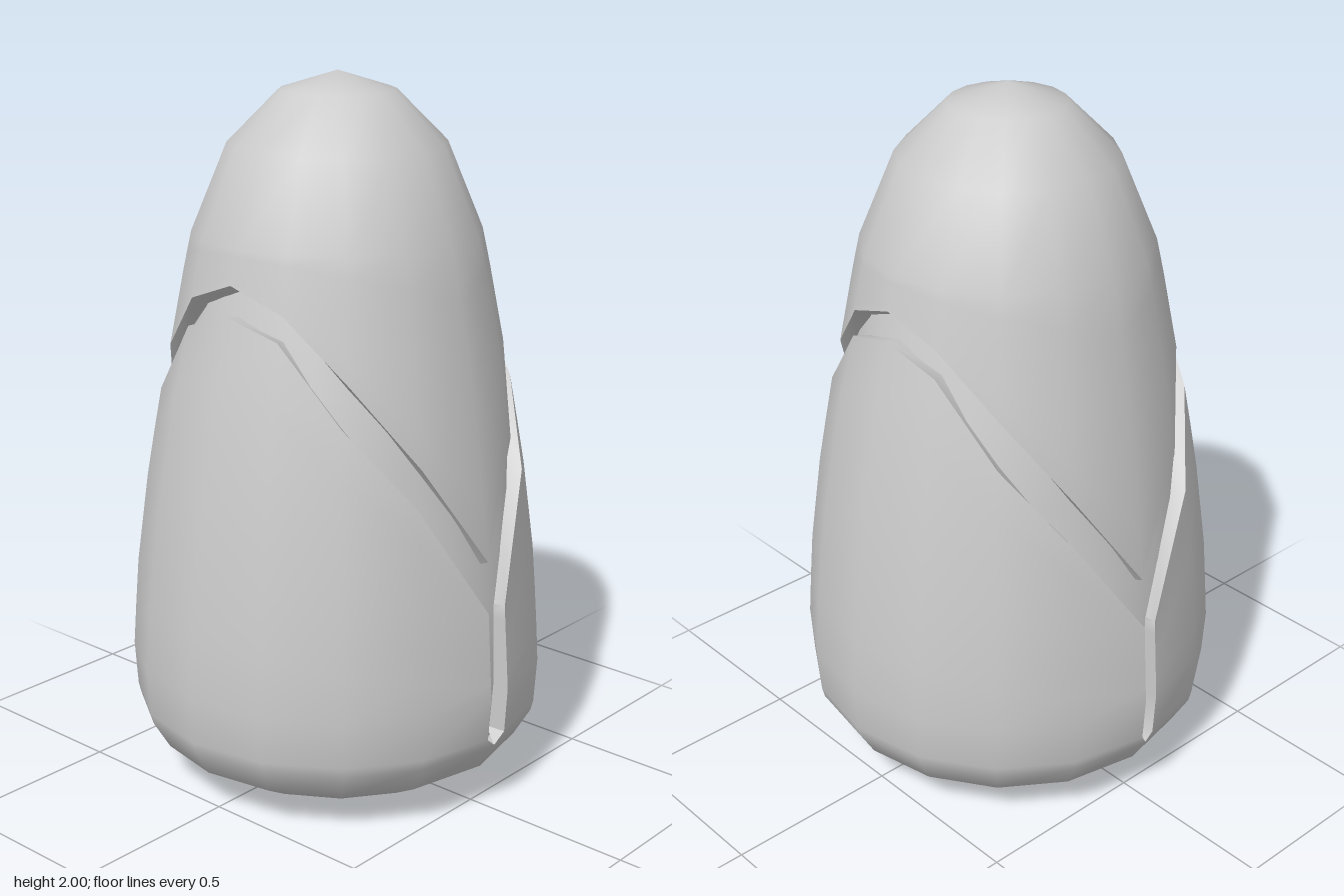
import * as THREE from 'three';
import { mergeGeometries, toCreasedNormals } from 'three/addons/utils/BufferGeometryUtils.js';

const material = new THREE.MeshStandardMaterial({ color: 0xcccccc, side: THREE.DoubleSide });
const rad = THREE.MathUtils.degToRad;

// Piecewise-linear lookup in a list of [input, output] pairs
function lookup(table, t) {
  if (t <= table[0][0]) return table[0][1];
  for (let i = 1; i < table.length; i++) {
    const [t0, v0] = table[i - 1], [t1, v1] = table[i];
    if (t <= t1) return v0 + (v1 - v0) * (t - t0) / (t1 - t0);
  }
  return table[table.length - 1][1];
}

// Point at an angle in degrees: 0 is the front, 90 the left side
const polar = (deg, r, y) => [r * Math.sin(rad(deg)), y, r * Math.cos(rad(deg))];

// Skin over columns of points, each running upwards
function skin(columns) {
  const rows = columns[0].length, index = [];
  for (let c = 0; c < columns.length - 1; c++) {
    for (let r = 0; r < rows - 1; r++) {
      const a = c * rows + r, b = a + rows;
      index.push(a, b, b + 1, a, b + 1, a + 1);
    }
  }
  const geometry = new THREE.BufferGeometry();
  geometry.setAttribute('position', new THREE.Float32BufferAttribute(columns.flat(2), 3));
  geometry.setIndex(index);
  return geometry.toNonIndexed();
}

function addMesh(group, name, geometry) {
  const mesh = new THREE.Mesh(toCreasedNormals(geometry, rad(48)), material);
  mesh.name = name;
  group.add(mesh);
}

// Radius of each layer by height
const shellRadius = [[0.005, 0], [0.02, 0.24], [0.055, 0.42], [0.12, 0.53], [0.21, 0.583],
  [0.36, 0.592], [0.6, 0.575], [0.9, 0.535], [1.2, 0.48], [1.4, 0.43]];
const capRadius = [[0.73, 0.54], [1, 0.505], [1.2, 0.475], [1.48, 0.42], [1.57, 0.4],
  [1.81, 0.3], [1.95, 0.16], [2, 0]];

// Rim height by angle away from the side
const shellRim = [[0, 1.4], [22, 1.35], [44, 1.13], [65, 0.92], [86, 0.6]];
const capRim = [[0, 1.48], [22.5, 1.42], [45, 1.25], [67.5, 1.02], [90, 0.73]];

// One outer petal between a start and end angle, with a thick rim and slit walls
function petal(start, end, seamStart, seamEnd) {
  const low = [0.005, 0.02, 0.055, 0.12, 0.2, 0.23, 0.36];
  const steps = 6, count = 8, columns = [];
  for (let c = -1; c <= count + 1; c++) {
    const k = THREE.MathUtils.clamp(c, 0, count);
    const wall = c !== k;
    const angle = start + (end - start) * k / count;
    const rim = lookup(shellRim, Math.abs(90 - Math.abs(angle % 360 > 180 ? 360 - angle : angle)));
    const heights = [...low];
    for (let s = 1; s <= steps; s++) heights.push(0.36 + (rim - 0.36) * s / steps);
    const column = heights.map(y => {
      // Below the slit the two petals meet at the seam
      const joined = y <= 0.2;
      const a = joined && k === 0 ? seamStart : joined && k === count ? seamEnd : angle;
      return polar(a, lookup(shellRadius, y) - (wall && !joined ? 0.06 : 0), y);
    });
    column.push(polar(angle, lookup(shellRadius, rim) - 0.06, rim - 0.01));
    columns.push(column);
  }
  return skin(columns);
}

// Pointed cap whose rim dips at front and back
function cap() {
  const columns = [];
  for (let c = 0; c <= 16; c++) {
    const angle = c * 22.5;
    const rim = lookup(capRim, Math.abs(90 - angle % 180));
    const column = [polar(angle, lookup(capRadius, rim) - 0.045, rim - 0.02)];
    for (let s = 0; s < 6; s++) {
      const y = rim + (1.57 - rim) * s / 6;
      column.push(polar(angle, lookup(capRadius, y), y));
    }
    for (const y of [1.57, 1.81, 1.95, 2]) column.push(polar(angle, lookup(capRadius, y), y));
    columns.push(column);
  }
  return skin(columns);
}

export function createModel() {
  const group = new THREE.Group();
  group.name = 'bud';

  // Two outer petals joined at the base, wider slit at the front than the back
  addMesh(group, 'outerPetals', mergeGeometries([
    petal(3.6, 178, 0, 180),
    petal(182, 356.4, 180, 360),
  ]));

  addMesh(group, 'cap', cap());

  // Inner body showing in the groove and slits
  const profile = [[0, 0.09], [0.44, 0.11], [0.535, 0.2], [0.547, 0.36], [0.54, 0.6], [0.513, 0.73],
    [0.48, 1], [0.44, 1.2], [0.385, 1.4], [0.35, 1.52], [0, 1.6]];
  addMesh(group, 'innerBody', new THREE.LatheGeometry(
    profile.map(([x, y]) => new THREE.Vector2(x, y)), 32).toNonIndexed());

  return group;
}
